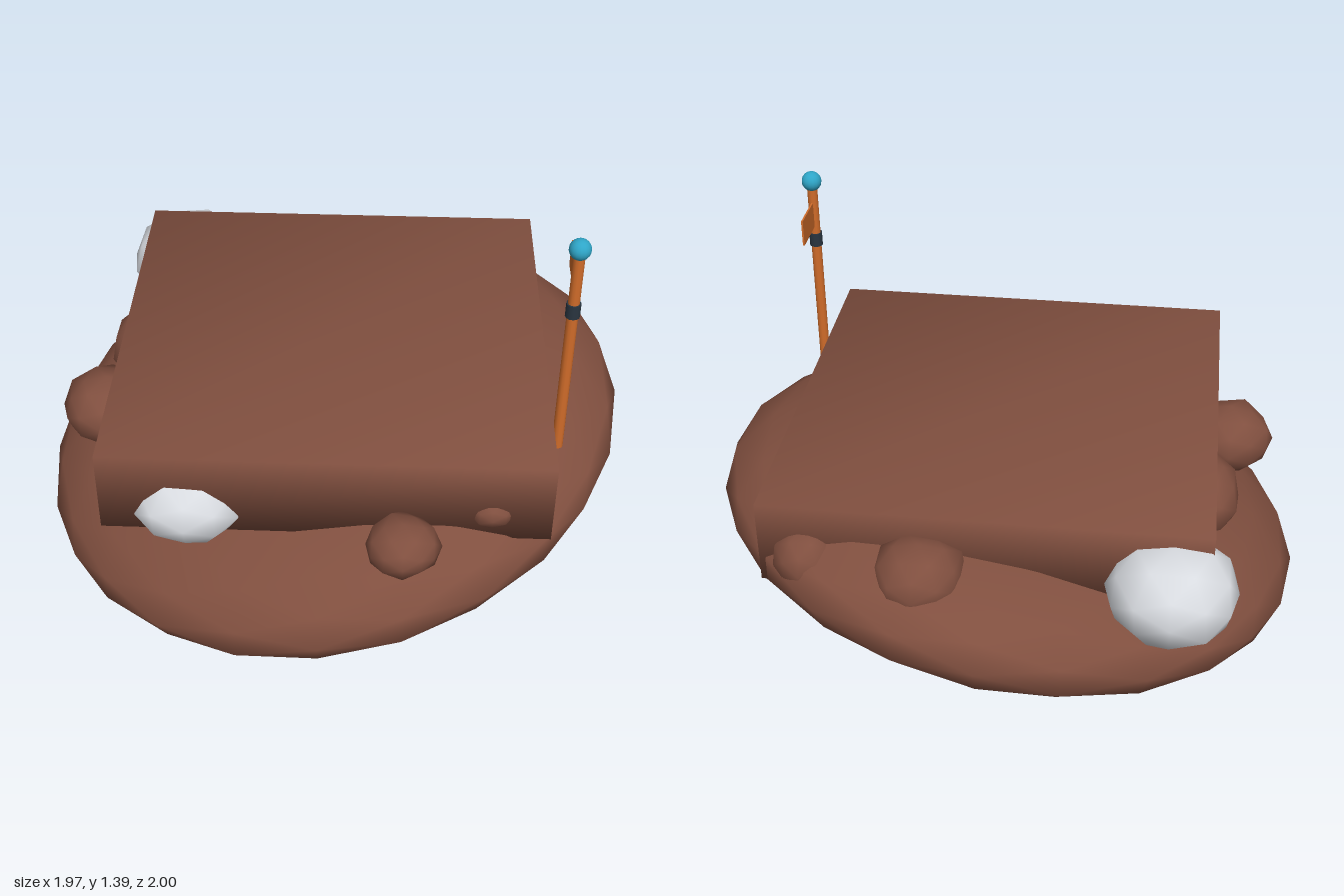
import * as THREE from 'three';
import { mergeVertices } from 'three/addons/utils/BufferGeometryUtils.js';

const mat = (name, color) => {
  const m = new THREE.MeshStandardMaterial({ color });
  m.name = name;
  return m;
};

// Shares corners between faces so the shading runs smoothly over edges
function smooth(geometry) {
  geometry.deleteAttribute('uv');
  geometry.deleteAttribute('normal');
  const merged = mergeVertices(geometry, 1e-4);
  merged.computeVertexNormals();
  return merged;
}

// Moves every vertex of a geometry by a rule
function reshape(geometry, rule) {
  const p = geometry.attributes.position;
  const v = new THREE.Vector3();
  for (let i = 0; i < p.count; i++) {
    rule(v.fromBufferAttribute(p, i));
    p.setXYZ(i, v.x, v.y, v.z);
  }
  return geometry;
}

export function createModel() {
  const model = new THREE.Group();
  const earth = mat('earth brown', 0x804f3f);
  const pale = mat('pale stone', 0xd8dbe0);
  const orange = mat('orange', 0xd06c2a);
  const dark = mat('dark band', 0x2a3540);
  const blue = mat('blue', 0x2fa6c8);

  const add = (name, geometry, material, x = 0, y = 0, z = 0, parent = model) => {
    const mesh = new THREE.Mesh(geometry, material);
    mesh.name = name;
    mesh.position.set(x, y, z);
    parent.add(mesh);
    return mesh;
  };

  // Flattened boulder, tilted up towards +x and -z
  const mound = reshape(new THREE.IcosahedronGeometry(1, 3), v => {
    v.x *= 0.985;
    v.y = 0.36 + 0.304 * v.y + 0.167 * v.x - 0.085 * v.z;
  });
  add('mound', smooth(mound), earth);

  // Square slab with softly shaded edges
  add('slab', smooth(new THREE.BoxGeometry(1.405, 0.285, 1.4)), earth, 0.013, 0.637, 0.01);

  // Loose rocks: name, material, centre, radii
  const rocks = [
    ['frontPaleRock', pale, [-0.42, 0.55, 0.63], [0.19, 0.135, 0.16]],
    ['backPaleRock', pale, [-0.57, 0.58, -0.69], [0.21, 0.165, 0.21]],
    ['sideRock', earth, [-0.74, 0.565, 0.2], [0.15, 0.12, 0.15]],
    ['sideBackRock', earth, [-0.65, 0.56, -0.15], [0.13, 0.13, 0.17]],
    ['frontRock', earth, [0.255, 0.57, 0.83], [0.115, 0.083, 0.115]],
    ['smallFrontRock', earth, [0.53, 0.58, 0.66], [0.08, 0.06, 0.075]],
    ['backRock', earth, [0.2, 0.6, -0.74], [0.15, 0.12, 0.15]],
    ['backCornerRock', earth, [0.57, 0.58, -0.66], [0.11, 0.11, 0.12]],
  ];
  rocks.forEach(([name, material, centre, radii], i) => {
    const rock = reshape(new THREE.IcosahedronGeometry(1, 1), v => {
      const bump = 1 + 0.06 * Math.sin(4 * v.x + 3 * v.y + i * 1.7) * Math.cos(5 * v.z - 2 * v.y + i);
      v.multiplyScalar(bump).multiply(new THREE.Vector3(...radii));
    });
    add(name, smooth(rock), material, ...centre);
  });

  // Flagpole standing on the mound beside the slab
  const flagpole = new THREE.Group();
  flagpole.name = 'flagpole';
  flagpole.position.set(0.748, 0, 0.395);
  model.add(flagpole);
  add('pole', new THREE.CylinderGeometry(0.018, 0.018, 0.74, 12), orange, 0, 0.98, 0, flagpole);
  add('poleBand', new THREE.CylinderGeometry(0.023, 0.023, 0.048, 12), dark, 0, 1.148, 0, flagpole);
  add('poleBall', new THREE.SphereGeometry(0.034, 16, 12), blue, 0, 1.365, 0, flagpole);
  add('flag', new THREE.BoxGeometry(0.006, 0.09, 0.15), orange, 0, 1.245, -0.09, flagpole);

  return model;
}
